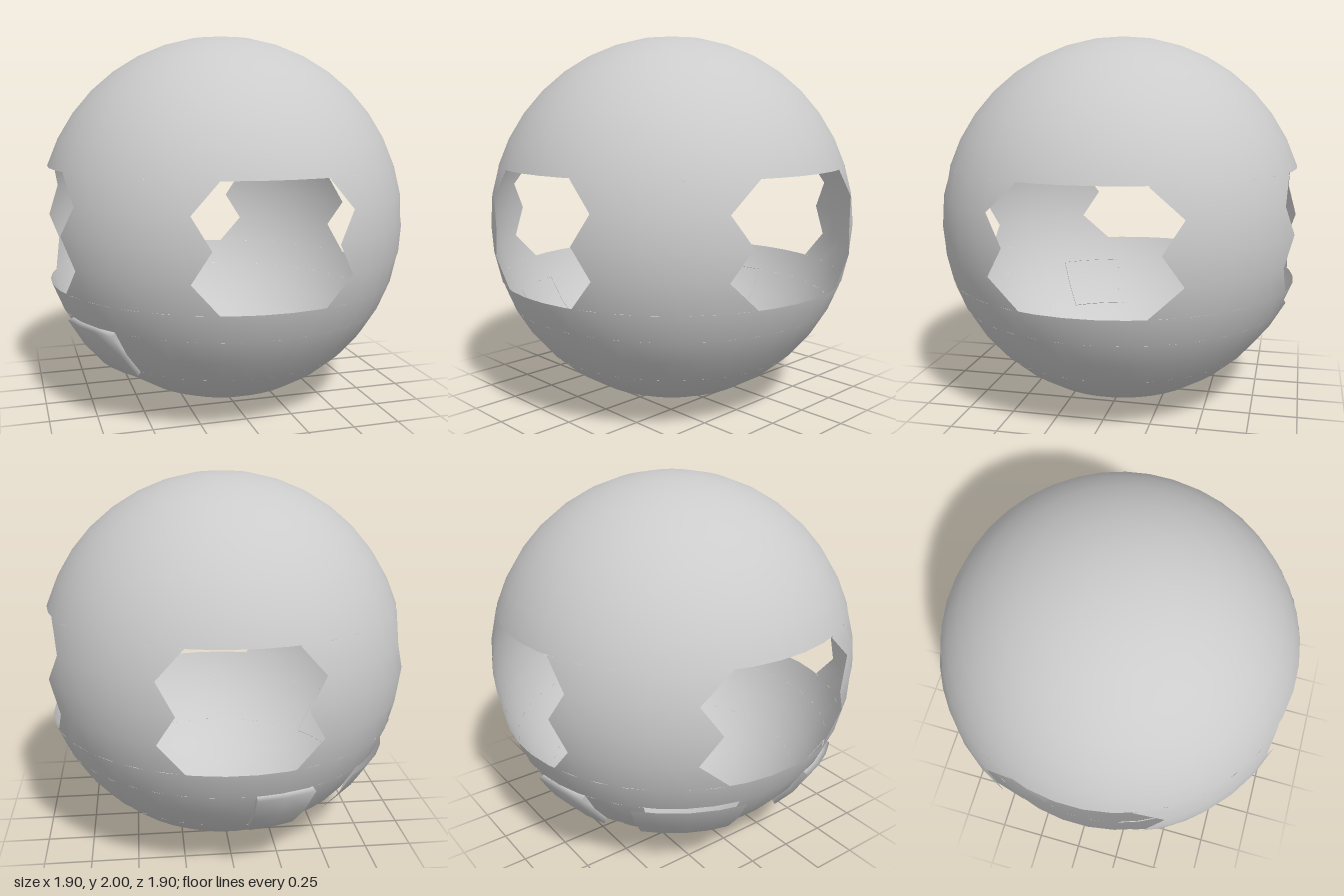
import * as THREE from 'three';

const RAD = Math.PI / 180;
const STEP = 9; // degrees per shell facet

const material = new THREE.MeshStandardMaterial({ color: 0xcccccc, side: THREE.DoubleSide });

// Patch of a sphere: lats run from top to bottom, start/end give the azimuth limits at each latitude.
// Azimuth is measured from the back (-z) towards -x. A skirt folds the border inwards.
function patch(name, lats, start, end, columns, radius = 1, skirt = 0) {
  const rows = skirt ? [lats[0], ...lats, lats[lats.length - 1]] : lats;
  const cols = [...Array(columns + 1).keys()].map((j) => j / columns);
  if (skirt) { cols.unshift(0); cols.push(1); }
  const positions = [];
  const index = [];
  const w = cols.length;
  rows.forEach((lat, i) => cols.forEach((t, j) => {
    const border = i === 0 || j === 0 || i === rows.length - 1 || j === w - 1;
    const r = skirt && border ? radius - skirt : radius;
    const az = THREE.MathUtils.lerp(start(lat), end(lat), t) * RAD;
    const h = r * Math.cos(lat * RAD);
    positions.push(-h * Math.sin(az), 1 + r * Math.sin(lat * RAD), -h * Math.cos(az));
    if (i && j) {
      const d = i * w + j, c = d - 1, b = d - w, a = b - 1;
      index.push(a, c, d, a, d, b);
    }
  }));
  const geometry = new THREE.BufferGeometry();
  geometry.setAttribute('position', new THREE.Float32BufferAttribute(positions, 3));
  geometry.setIndex(index);
  // Shell pieces share exact sphere normals; raised plates get their own
  if (skirt) geometry.computeVertexNormals();
  else {
    const normals = positions.map((p, i) => (i % 3 === 1 ? p - 1 : p) / radius);
    geometry.setAttribute('normal', new THREE.Float32BufferAttribute(normals, 3));
  }
  const mesh = new THREE.Mesh(geometry, material);
  mesh.name = name;
  return mesh;
}

function latitudes(top, bottom) {
  const list = [];
  for (let lat = top; lat >= bottom; lat -= STEP) list.push(lat);
  return list;
}

const at = (angle) => () => angle;

export function createModel() {
  const group = new THREE.Group();
  group.name = 'hollowSphere';

  // Full rings of the shell, with 4.5 degrees offset so a facet faces the front
  const ring = (name, top, bottom) =>
    group.add(patch(name, latitudes(top, bottom), at(4.5), at(364.5), 40));
  ring('topCap', 90, 54);
  ring('upperShell', 54, 18);
  ring('lowerShell', -18, -27);
  ring('bottomShell', -45, -54);
  ring('bottomCap', -54, -90);

  // Ring with an opening behind the loose plate
  group.add(patch('openRing', latitudes(-27, -45), at(76), at(405), 37));

  // Four jagged windows: half widths in degrees by latitude (front/back, sides)
  const halfWidths = [{ 0: 18, 9: 23.7, 18: 16 }, { 0: 22.3, 9: 28.8, 18: 19 }];
  const half = (k, lat) => halfWidths[k % 2][Math.abs(lat)];

  // Pillars left standing between the windows
  for (let k = 0; k < 4; k++) {
    group.add(patch('pillar', latitudes(18, -18),
      (lat) => 90 * k + half(k, lat),
      (lat) => 90 * (k + 1) - half(k + 1, lat), 5));
  }

  // Raised plates on the lower right and back
  const plateLats = latitudes(-27, -45);
  group.add(patch('backPlate', plateLats, at(5), at(24.5), 2, 1.03, 0.035));
  group.add(patch('loosePlate', plateLats, at(41), at(78), 4, 1.025));
  group.add(patch('sidePlate', plateLats, at(105), at(129), 3, 1.03, 0.035));

  return group;
}
